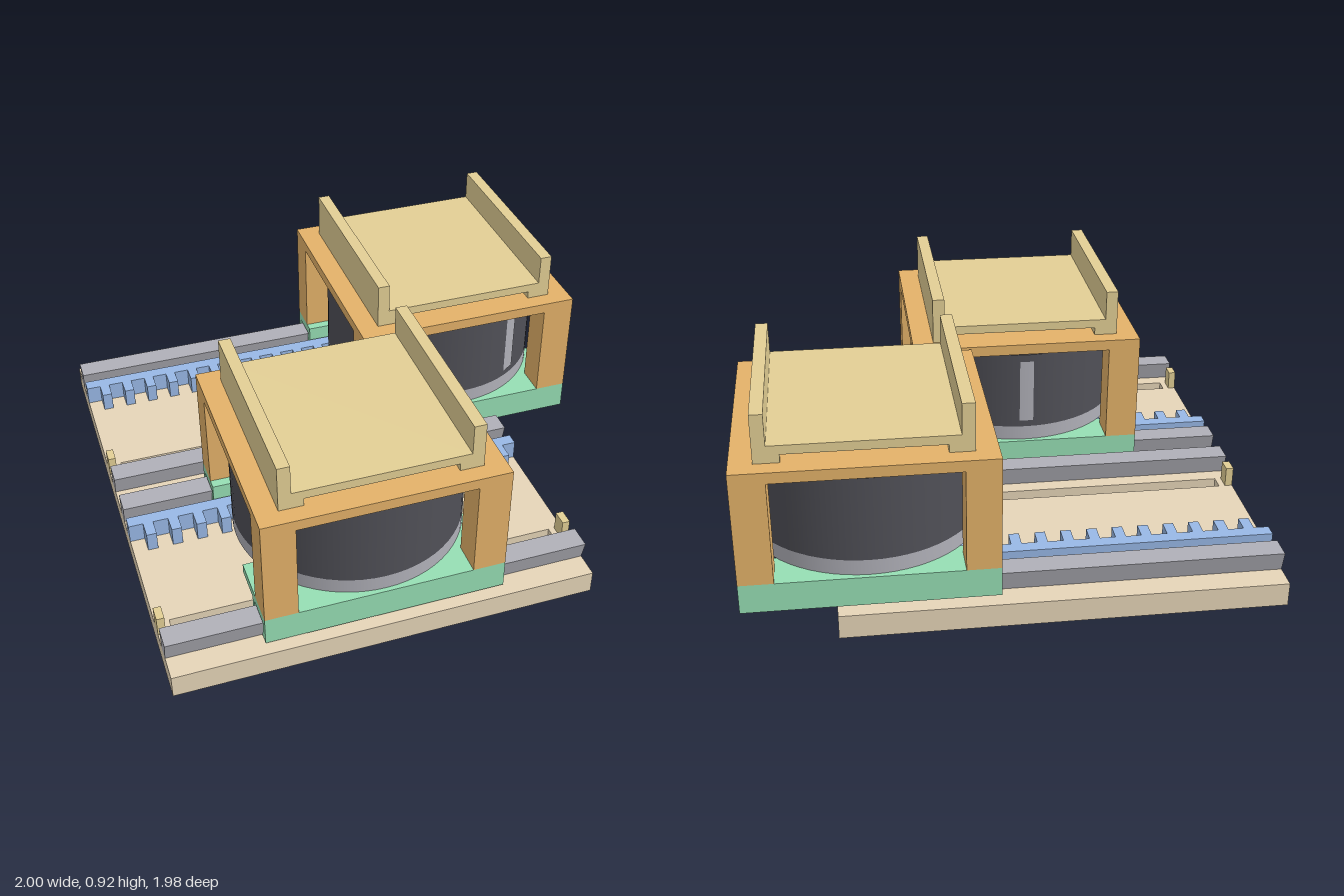
import * as THREE from 'three';

const mat = (name, color) => {
  const m = new THREE.MeshStandardMaterial({ color });
  m.name = name;
  return m;
};

export function createModel() {
  const M = {
    base: mat('baseBeige', 0xe6d5b8),
    frame: mat('frameOrange', 0xe4b269),
    tray: mat('trayTan', 0xe3cf95),
    metal: mat('metalGrey', 0xb0b0b8),
    green: mat('carriageGreen', 0x96deb4),
    blue: mat('rackBlue', 0x98b8e6),
    red: mat('gearRed', 0xe87676),
    dark: mat('drumDark', 0x505057),
  };
  const root = new THREE.Group();
  root.name = 'slidingCarriages';

  const add = (parent, name, geo, material, x = 0, y = 0, z = 0) => {
    const m = new THREE.Mesh(geo, material);
    m.name = name;
    m.position.set(x, y, z);
    parent.add(m);
    return m;
  };
  // box given by its limits on each axis
  const box = (parent, name, material, x0, x1, y0, y1, z0, z1) =>
    add(parent, name, new THREE.BoxGeometry(x1 - x0, y1 - y0, z1 - z0), material,
      (x0 + x1) / 2, (y0 + y1) / 2, (z0 + z1) / 2);
  const cyl = (parent, name, material, r, y0, y1) =>
    add(parent, name, new THREE.CylinderGeometry(r, r, y1 - y0, 64), material, 0, (y0 + y1) / 2, 0);
  const shapeOf = (pts) => new THREE.Shape(pts.map(([a, b]) => new THREE.Vector2(a, b)));
  // profile in (z, y) swept along x
  const sweepX = (pts, length) => new THREE.ExtrudeGeometry(shapeOf(pts), { depth: length, bevelEnabled: false }).rotateY(Math.PI / 2);
  // outline in (x, z) swept downward
  const sweepDown = (shape, depth) => new THREE.ExtrudeGeometry(shape, { depth, bevelEnabled: false }).rotateX(Math.PI / 2);

  const X0 = -1, X1 = 0.655, TOP = 0.163;
  const rows = [{ x: -0.172, z: 0.477, strip: Math.PI }, { x: 0.531, z: -0.48, strip: 0.525 }];

  // base plate with one long slot per row
  const plate = shapeOf([[X0, -0.99], [X1, -0.99], [X1, 0.987], [X0, 0.987]]);
  rows.forEach(({ z }) => {
    const s = z + 0.23;
    plate.holes.push(new THREE.Path([[-0.945, s], [0.6, s], [0.6, s + 0.062], [-0.945, s + 0.062]]
      .map(([a, b]) => new THREE.Vector2(a, b))));
  });
  add(root, 'basePlate', sweepDown(plate, 0.093), M.base, 0, TOP, 0);

  // gear outline
  const gearPts = [];
  const teeth = 12;
  for (let i = 0; i < teeth; i++) {
    [[-0.27, 0.165], [-0.2, 0.23], [0.2, 0.23], [0.27, 0.165]].forEach(([o, r]) => {
      const a = ((i + 0.5 + o) / teeth) * Math.PI * 2;
      gearPts.push([Math.cos(a) * r, Math.sin(a) * r]);
    });
  }

  rows.forEach(({ x, z, strip }) => {
    // dovetail rails
    for (const dz of [-0.383, 0.383]) {
      add(root, 'rail', sweepX([[-0.027, 0], [0.027, 0], [0.047, 0.08], [-0.047, 0.08]], X1 - X0),
        M.metal, X0, TOP, z + dz);
    }
    // toothed rack
    const rack = new THREE.Group();
    rack.name = 'rack';
    root.add(rack);
    box(rack, 'rackBar', M.blue, X0, X1, TOP, 0.241, z - 0.285, z - 0.232);
    for (let i = 0; i < 16; i++) {
      const t = -0.942 + i * 0.1;
      box(rack, 'rackTooth', M.blue, t, t + 0.04, TOP, 0.241, z - 0.232, z - 0.162);
    }
    // end stops
    box(root, 'endStop', M.tray, X0, X0 + 0.03, TOP, 0.243, z + 0.23, z + 0.292);
    box(root, 'endStop', M.tray, X1 - 0.03, X1, TOP, 0.243, z + 0.23, z + 0.292);

    const car = new THREE.Group();
    car.name = 'carriage';
    car.position.set(x, 0, z);
    root.add(car);
    const H = 0.468;

    // grooved runners, the bridge between them and the lip that holds the wires
    for (const s of [-1, 1]) {
      add(car, 'runner', sweepX([[-0.084, 0.177], [-0.042, 0.177], [-0.06, 0.254], [0.06, 0.254],
        [0.042, 0.177], [0.084, 0.177], [0.084, 0.292], [-0.084, 0.292]], H * 2), M.green, -H, 0, s * 0.384);
    }
    box(car, 'bridge', M.green, -0.24, 0.24, 0.254, 0.292, -0.301, 0.165);
    box(car, 'wireLip', M.green, -H, H, 0.254, 0.292, 0.165, 0.301);

    // pinion
    add(car, 'pinion', sweepDown(shapeOf(gearPts), 0.073), M.red, 0, 0.253, 0);

    // drum
    cyl(car, 'drumFlange', M.metal, 0.45, 0.292, 0.352);
    cyl(car, 'drum', M.dark, 0.45, 0.352, 0.681);
    cyl(car, 'axle', M.dark, 0.085, 0.681, 0.751);
    add(car, 'drumStrip', new THREE.CylinderGeometry(0.453, 0.453, 0.27, 6, 1, true, strip - 0.064, 0.128),
      M.metal, 0, 0.516, 0);

    // frame with corner posts
    box(car, 'frameTop', M.frame, -H, H, 0.692, 0.735, -H, H);
    for (const sx of [-1, 1]) for (const sz of [-1, 1]) {
      add(car, 'framePost', new THREE.BoxGeometry(0.128, 0.4, 0.128), M.frame, sx * (H - 0.064), 0.492, sz * (H - 0.064));
    }

    // tray with raised side walls on feet
    add(car, 'tray', new THREE.ExtrudeGeometry(shapeOf([[-0.383, 0.735], [-0.29, 0.735], [-0.29, 0.766], [0.29, 0.766],
      [0.29, 0.735], [0.383, 0.735], [0.383, 0.921], [0.335, 0.921], [0.335, 0.801], [-0.335, 0.801],
      [-0.335, 0.921], [-0.383, 0.921]]), { depth: 0.8, bevelEnabled: false }), M.tray, 0, 0, -0.4);

    // contact wires reaching down through the slot
    for (const dx of [-0.04, 0, 0.04]) {
      const path = new THREE.CurvePath();
      const p = [[0.26, 0.262], [0.036, 0.262], [0.014, 0.352]].map(([y, zz]) => new THREE.Vector3(dx, y, zz));
      path.add(new THREE.LineCurve3(p[0], p[1]));
      path.add(new THREE.LineCurve3(p[1], p[2]));
      const wire = add(car, 'contactWire', new THREE.TubeGeometry(path, 24, 0.014, 10), M.dark);
      add(wire, 'wireTip', new THREE.SphereGeometry(0.014, 10, 8), M.dark, p[2].x, p[2].y, p[2].z);
    }
  });
  return root;
}
